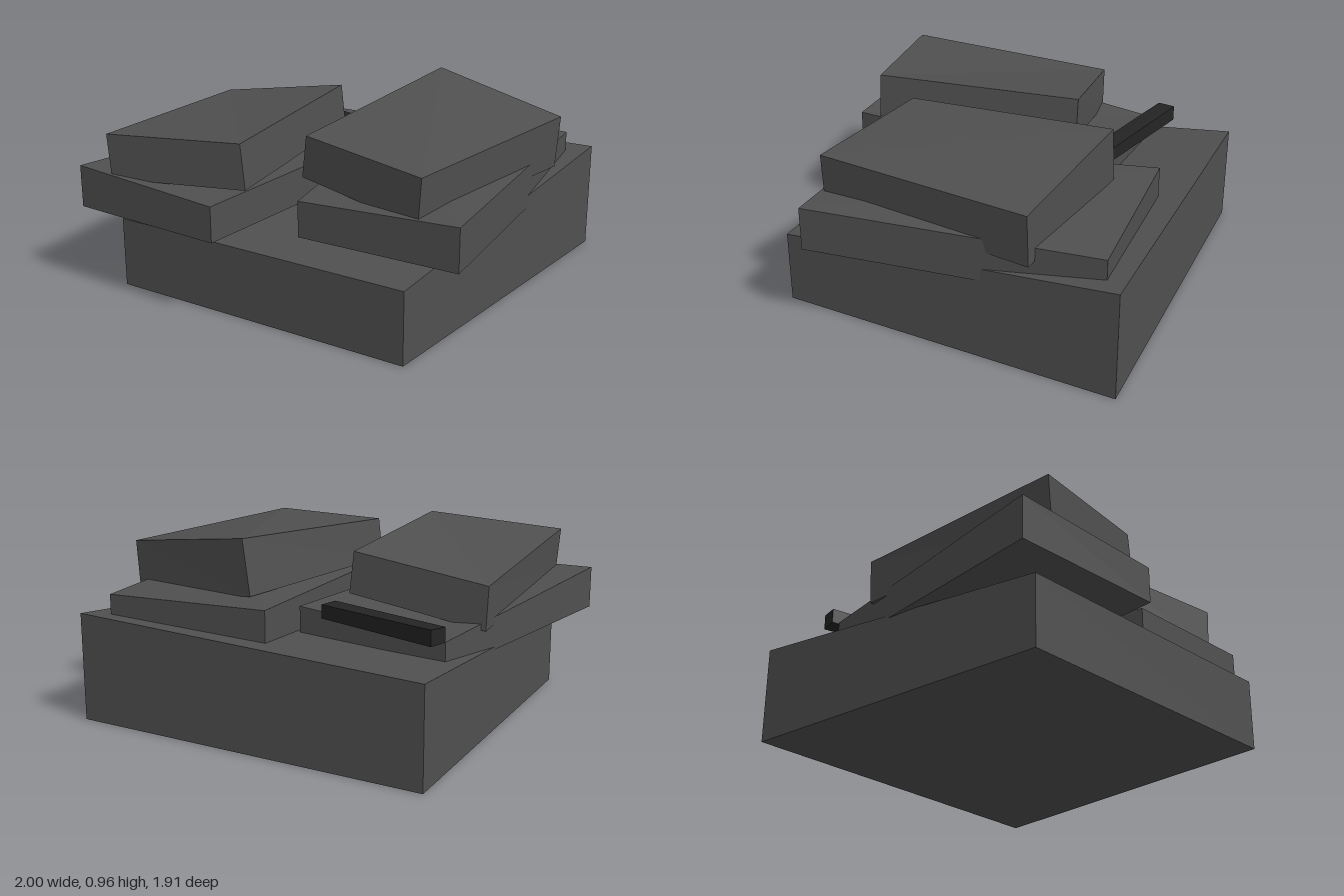
import * as THREE from 'three';

const charcoal = new THREE.MeshStandardMaterial({ color: 0x505050 });
const nearBlack = new THREE.MeshStandardMaterial({ color: 0x242424 });
charcoal.name = 'charcoal';
nearBlack.name = 'near black';

// Skewed block from four bottom and four top corners, each ring running
// back right, back left, front left, front right of the model
function block(name, material, bottom, top) {
  const corners = [...bottom, ...top];
  const quads = [[0, 1, 2, 3], [4, 7, 6, 5]];
  for (let i = 0; i < 4; i++) {
    const j = (i + 1) % 4;
    quads.push([i, i + 4, j + 4, j]);
  }
  const positions = [];
  for (const [a, b, c, d] of quads) {
    for (const k of [a, b, c, a, c, d]) positions.push(...corners[k]);
  }
  const geometry = new THREE.BufferGeometry();
  geometry.setAttribute('position', new THREE.Float32BufferAttribute(positions, 3));
  geometry.computeVertexNormals();
  const mesh = new THREE.Mesh(geometry, material);
  mesh.name = name;
  return mesh;
}

// Ring of corners at one height, or at a height for each corner
const ring = (plan, y) => plan.map(([x, z], i) => [x, Array.isArray(y) ? y[i] : y, z]);

export function createModel() {
  const group = new THREE.Group();
  group.name = 'stackedBlocks';

  // Tapered base, higher at the back
  const base = [[-0.94, -0.93], [0.97, -0.96], [0.83, 0.84], [-0.82, 0.83]];
  group.add(block('base', charcoal, ring(base, 0), ring(base, [0.51, 0.56, 0.375, 0.365])));

  // Two flat slabs sunk into the base
  const slabR = [[-0.83, -0.51], [-0.015, -0.475], [-0.155, 0.955], [-1, 0.92]];
  group.add(block('rightSlab', charcoal, ring(slabR, 0.425), ring(slabR, [0.57, 0.62, 0.61, 0.645])));
  const slabL = [[-0.035, -0.81], [0.86, -0.86], [1, 0.645], [0.15, 0.675]];
  group.add(block('leftSlab', charcoal, ring(slabL, 0.425), ring(slabL, [0.68, 0.65, 0.65, 0.61])));

  // Tilted blocks lying on the slabs
  group.add(block('rightTopBlock', charcoal,
    ring([[-0.89, -0.2], [-0.195, -0.3], [-0.07, 0.79], [-0.8, 0.91]], [0.55, 0.67, 0.655, 0.61]),
    ring([[-0.9, -0.2], [-0.22, -0.3], [-0.095, 0.79], [-0.82, 0.91]], [0.775, 0.885, 0.885, 0.84])));
  group.add(block('leftTopBlock', charcoal,
    ring([[0.165, -0.64], [0.945, -0.515], [0.78, 0.635], [0.06, 0.5]], [0.68, 0.575, 0.6, 0.66]),
    ring([[0.205, -0.64], [0.965, -0.515], [0.795, 0.635], [0.085, 0.5]], [0.965, 0.847, 0.84, 0.875])));

  // Thin dark bar behind the right top block
  const bar = [[-0.82, -0.64], [-0.15, -0.49], [-0.17, -0.395], [-0.845, -0.545]];
  group.add(block('darkBar', nearBlack, ring(bar, 0.58), ring(bar, [0.66, 0.65, 0.65, 0.655])));

  return group;
}
